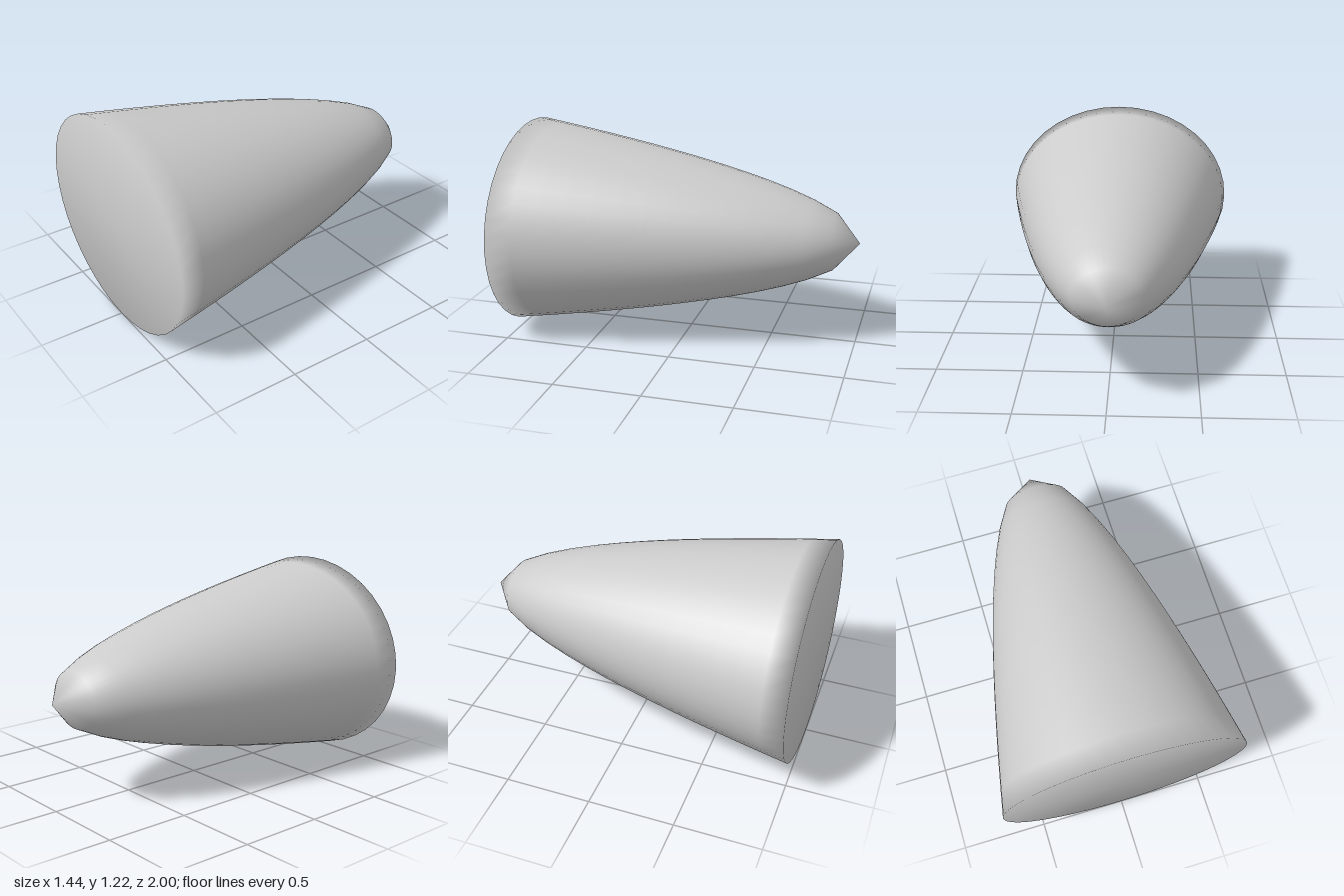
import * as THREE from 'three';
import { mergeVertices } from 'three/addons/utils/BufferGeometryUtils.js';

const RADIUS_X = 0.72, RADIUS_Y = 0.61;
const RINGS = 14, SIDES = 40;

export function createModel() {
  const group = new THREE.Group();
  group.name = 'ellipticParaboloid';

  // parabolic profile from tip to rim, closed by a flat cap
  const profile = [];
  for (let i = 0; i <= RINGS; i++) {
    const t = i / RINGS;
    profile.push(new THREE.Vector2(Math.sqrt(t), 2 * t - 1));
  }
  profile.push(new THREE.Vector2(0, 1));

  // turn the axis to z, squash to an ellipse and smooth across the rim
  let geometry = new THREE.LatheGeometry(profile, SIDES);
  geometry.rotateX(Math.PI / 2);
  geometry.scale(RADIUS_X, RADIUS_Y, 1);
  geometry.translate(0, RADIUS_Y, 0);
  geometry.deleteAttribute('normal');
  geometry.deleteAttribute('uv');
  geometry = mergeVertices(geometry, 1e-4);
  geometry.computeVertexNormals();

  const body = new THREE.Mesh(geometry, new THREE.MeshStandardMaterial({ color: 0xcccccc }));
  body.name = 'paraboloidBody';
  group.add(body);
  return group;
}
